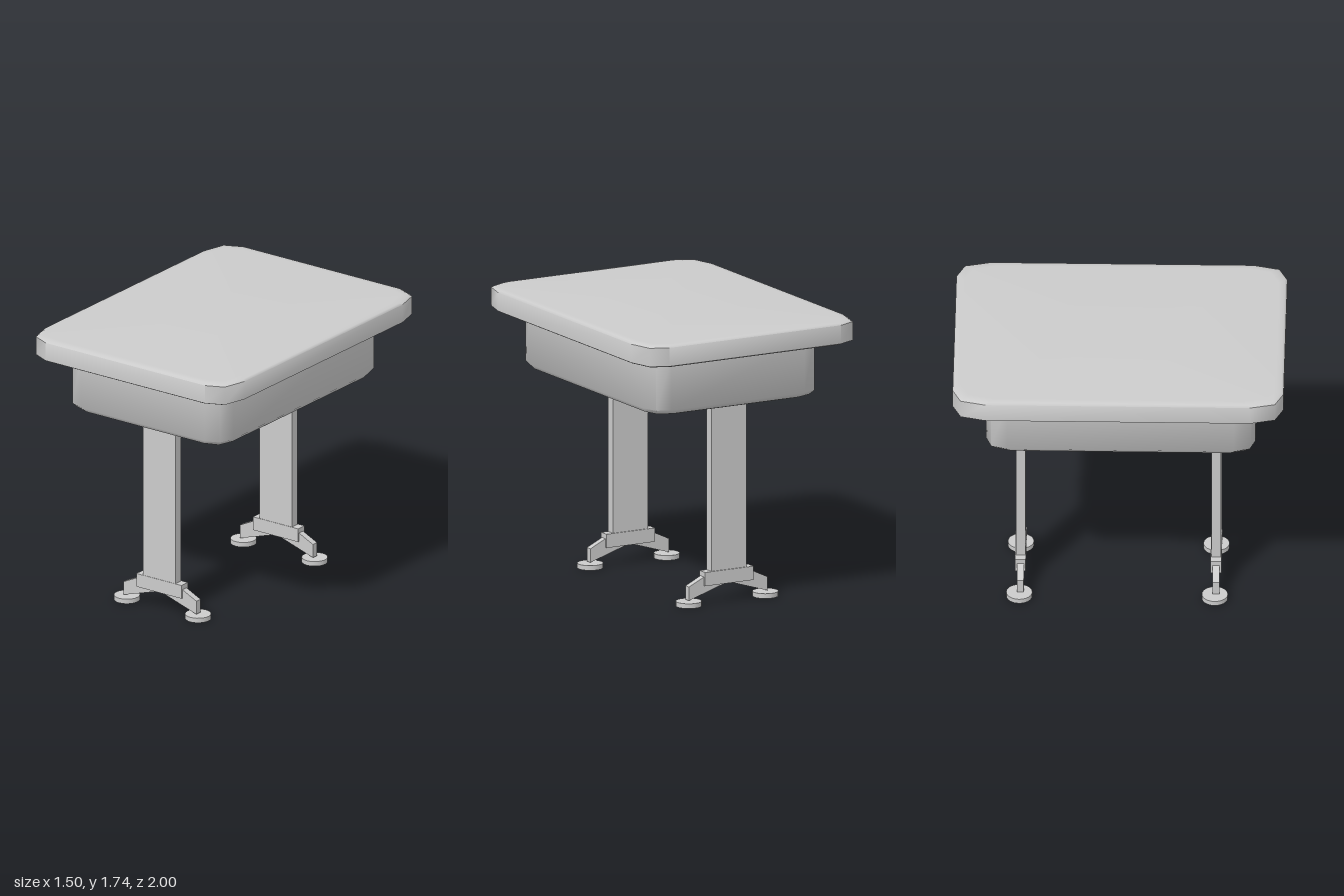
import * as THREE from 'three';
import { toCreasedNormals } from 'three/addons/utils/BufferGeometryUtils.js';

const material = new THREE.MeshStandardMaterial({ color: 0xcccccc });

function add(parent, name, geometry, x = 0, y = 0, z = 0) {
  const mesh = new THREE.Mesh(geometry, material);
  mesh.name = name;
  mesh.position.set(x, y, z);
  parent.add(mesh);
  return mesh;
}

// Closed slab with clipped corners; rings are [height, inset] from bottom to top.
function slab(halfX, halfZ, cutX, cutZ, rings) {
  const positions = [], index = [], n = 12;
  const corner = [[0, cutZ], [cutX * 0.26, cutZ * 0.25], [cutX, 0]];
  for (const [y, inset] of rings) {
    const hx = halfX - inset, hz = halfZ - inset;
    for (const [sx, sz] of [[1, 1], [-1, 1], [-1, -1], [1, -1]]) {
      const points = sx * sz > 0 ? corner : [...corner].reverse();
      for (const [dx, dz] of points) positions.push(sx * (hx - dx), y, sz * (hz - dz));
    }
  }
  const bottom = rings.length * n, top = bottom + 1, last = bottom - n;
  positions.push(0, rings[0][0], 0, 0, rings[rings.length - 1][0], 0);
  for (let j = 0; j < n; j++) {
    const k = (j + 1) % n;
    for (let i = 0; i < last; i += n) {
      index.push(i + j, i + n + j, i + k, i + k, i + n + j, i + n + k);
    }
    index.push(bottom, j, k, top, last + k, last + j);
  }
  const geometry = new THREE.BufferGeometry();
  geometry.setAttribute('position', new THREE.Float32BufferAttribute(positions, 3));
  geometry.setIndex(index);
  return toCreasedNormals(geometry, 1.0);
}

// Sloping foot arm, profile drawn in the x-y plane; side mirrors it.
function footArm(side) {
  const profile = [[0.03, 0.112], [0.275, 0.035], [0.275, 0.12], [0.16, 0.175], [0.03, 0.175]];
  const shape = new THREE.Shape(profile.map(([x, y]) => new THREE.Vector2(side * x, y)));
  const geometry = new THREE.ExtrudeGeometry(shape, { depth: 0.042, bevelEnabled: false });
  return geometry.translate(0, 0, -0.021);
}

function createLeg(name, z) {
  const leg = new THREE.Group();
  leg.name = name;
  leg.position.set(-0.033, 0, z);
  add(leg, 'post', new THREE.BoxGeometry(0.245, 1.14, 0.057), 0, 0.69, 0);
  add(leg, 'footBracket', new THREE.BoxGeometry(0.34, 0.085, 0.066), 0, 0.158, -0.002);
  for (const side of [-1, 1]) {
    const label = side > 0 ? 'left' : 'right';
    add(leg, label + 'FootArm', footArm(side));
    add(leg, label + 'FootPad', new THREE.CylinderGeometry(0.079, 0.079, 0.03, 24), side * 0.268, 0.015, -0.006);
  }
  return leg;
}

export function createModel() {
  const desk = new THREE.Group();
  desk.name = 'desk';

  // Table top with softened edges
  add(desk, 'tableTop', slab(0.75, 1, 0.15, 0.2, [
    [1.6, 0.012], [1.607, 0], [1.722, 0], [1.732, 0.014], [1.735, 0.05],
  ]));

  // Storage box below the top
  add(desk, 'storageBox', slab(0.585, 0.815, 0.12, 0.13, [
    [1.242, 0.055], [1.252, 0.024], [1.28, 0], [1.605, 0],
  ]), 0.005, 0, 0.014);

  // Two pedestal legs
  desk.add(createLeg('frontLeg', 0.585), createLeg('backLeg', -0.597));
  return desk;
}
